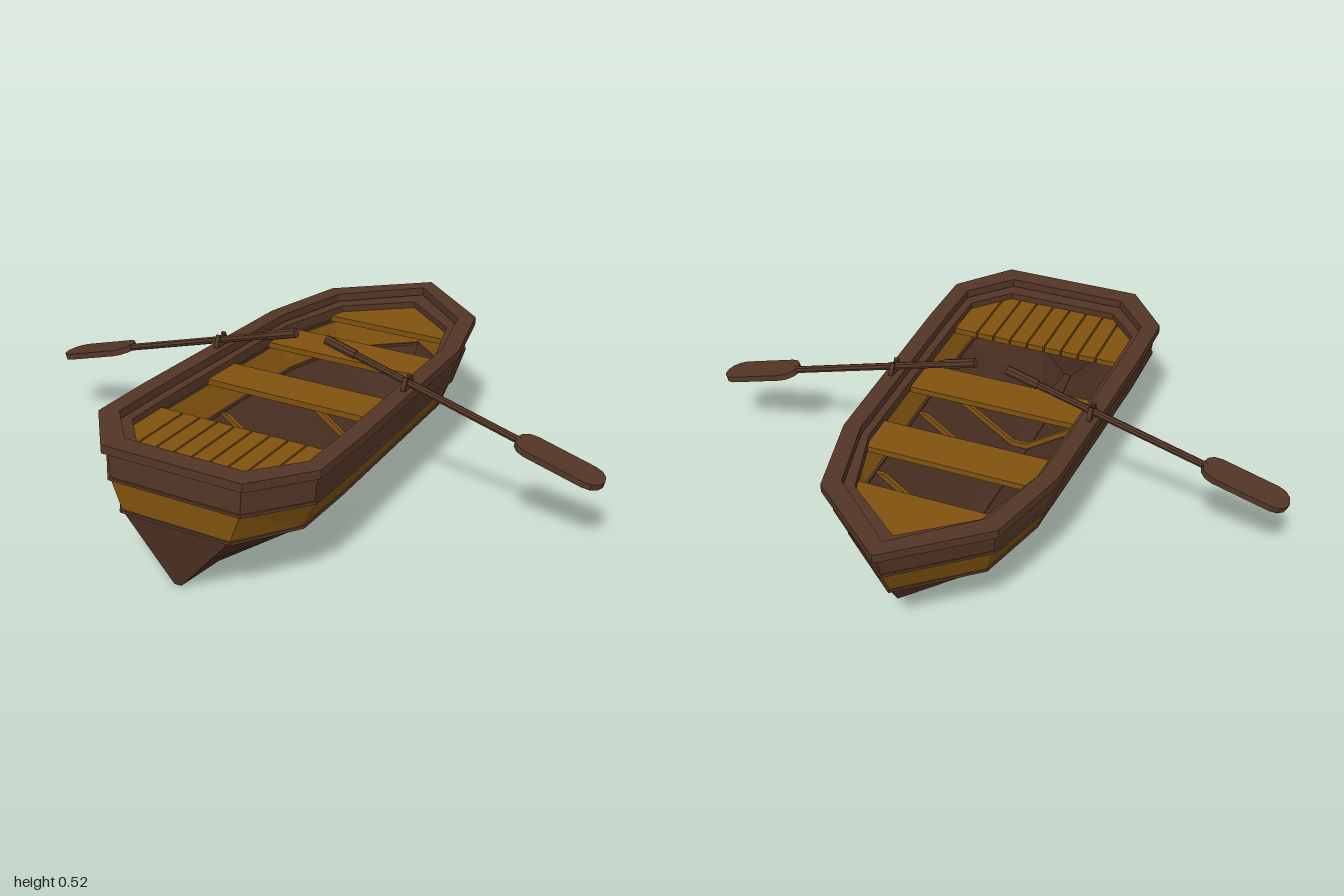
import * as THREE from 'three';

const mat = (color) => new THREE.MeshStandardMaterial({ color, flatShading: true, side: THREE.DoubleSide });
const brown = mat(0x533626), ochre = mat(0x80520f), dark = mat(0x482e21);
const SEAT = .348; // top of seats and platform

// Half outlines [x, z] from bow to stern; mirrored into closed loops
const outlines = {
  railOuter: [[0, -.838], [.285, -.6], [.36, -.3], [.385, .42], [.385, .655], [.24, .833]],
  railInner: [[0, -.77], [.235, -.56], [.305, -.29], [.328, .42], [.328, .625], [.205, .765]],
  ledgeInner: [[0, -.7], [.205, -.535], [.283, -.28], [.302, .42], [.302, .6], [.195, .72]],
  top: [[0, -.81], [.27, -.585], [.345, -.3], [.372, .42], [.372, .65], [.228, .82]],
  upper: [[0, -.79], [.26, -.57], [.335, -.3], [.362, .42], [.362, .65], [.222, .82]],
  chine: [[0, -.74], [.225, -.55], [.29, -.3], [.315, .42], [.315, .64], [.185, .82]],
  keel: [[0, -.49], [.012, -.475], [.024, -.42], [.03, .42], [.03, .65], [.012, .82]],
};
const loop = (half) => [...half, ...half.slice(1).reverse().map(([x, z]) => [-x, z])];
const grow = (half, d) => half.map(([x, z]) => [x ? x + d : 0, z + (z > .7 ? d : z < -.65 ? -d * 1.4 : 0)]);
const mix = (a, b, t) => a.map(([x, z], i) => [x + (b[i][0] - x) * t, z + (b[i][1] - z) * t]);

function add(group, name, geometry, material) {
  const mesh = new THREE.Mesh(geometry, material);
  mesh.name = name;
  group.add(mesh);
  return mesh;
}

// Horizontal slab from a closed [x, z] outline, optionally hollow
function slab(points, y0, y1, hole) {
  const vec = (pts) => pts.map(([x, z]) => new THREE.Vector2(x, z));
  const shape = new THREE.Shape(vec(points));
  if (hole) shape.holes.push(new THREE.Path(vec(hole)));
  return new THREE.ExtrudeGeometry(shape, { depth: y1 - y0, bevelEnabled: false })
    .rotateX(Math.PI / 2).translate(0, y1, 0);
}

// Planked skin between successive outlines, each level being [y, half outline]
function skin(levels) {
  const p = [];
  for (let k = 0; k + 1 < levels.length; k++) {
    const [y0, h0] = levels[k], [y1, h1] = levels[k + 1];
    const a = loop(h0), b = loop(h1);
    a.forEach(([x, z], i) => {
      const j = (i + 1) % a.length;
      const A = [x, y0, z], B = [a[j][0], y0, a[j][1]];
      const C = [b[j][0], y1, b[j][1]], D = [b[i][0], y1, b[i][1]];
      p.push(...A, ...C, ...B, ...A, ...D, ...C);
    });
  }
  const g = new THREE.BufferGeometry();
  g.setAttribute('position', new THREE.Float32BufferAttribute(p, 3));
  g.computeVertexNormals();
  return g;
}

function makeOar() {
  // Modelled along +x from the grip end, then tilted down to the water
  const oar = new THREE.Group();
  oar.name = 'oar';
  const rod = (r, x0, x1) => new THREE.CylinderGeometry(r, r, x1 - x0, 8)
    .rotateZ(Math.PI / 2).translate((x0 + x1) / 2, 0, 0);
  add(oar, 'shaft', rod(.012, .08, .7), brown);
  add(oar, 'grip', rod(.016, 0, .11), brown);
  const blade = [];
  for (const [cx, start] of [[.93, -90], [.735, 90]])
    for (let i = 0; i <= 6; i++) {
      const a = THREE.MathUtils.degToRad(start + i * 30);
      blade.push([cx + .05 * Math.cos(a), .055 * Math.sin(a)]);
    }
  add(oar, 'blade', slab(blade, -.01, .01), brown);
  oar.position.set(.055, .503, .045);
  oar.rotation.z = -.278;
  return oar;
}

function makeOarlock() {
  const lock = new THREE.Group();
  lock.name = 'oarlock';
  for (const s of [-1, 1]) {
    const leg = add(lock, 'prong', new THREE.BoxGeometry(.014, .046, .01), brown);
    leg.position.set(0, .02, s * .022);
    leg.rotation.x = -s * .4;
  }
  add(lock, 'base', new THREE.BoxGeometry(.016, .01, .07), brown);
  lock.position.set(.345, .4, .045);
  return lock;
}

export function createModel() {
  const boat = new THREE.Group();
  boat.name = 'rowingBoat';
  const o = outlines;

  // Hull planking: V bottom, ochre band, top strake
  const forefoot = mix(o.keel, o.chine, .615);
  forefoot[0] = [0, -.69];
  add(boat, 'hullBottom', skin([[0, o.keel], [.12, forefoot], [.195, o.chine]]), dark);
  add(boat, 'keelBase', slab(loop(o.keel), 0, .004), dark);
  add(boat, 'hullBand', skin([[.195, o.chine], [.29, o.upper]]), ochre);
  add(boat, 'topStrake', skin([[.29, o.upper], [.376, o.top]]), brown);

  // Rub strips, inner ledge and gunwale
  add(boat, 'lowerStrip', slab(loop(grow(o.chine, .006)), .19, .199, loop(grow(o.chine, -.006))), brown);
  add(boat, 'upperStrip', slab(loop(grow(o.upper, .006)), .287, .296, loop(grow(o.upper, -.006))), brown);
  add(boat, 'innerLedge', slab(loop(grow(o.upper, -.002)), .335, .37, loop(o.ledgeInner)), brown);
  add(boat, 'gunwale', slab(loop(o.railOuter), .374, .402, loop(o.railInner)), brown);

  // Bow seat and two thwarts
  add(boat, 'bowSeat', slab(loop([[0, -.72], [.215, -.535], [.235, -.48]]), SEAT - .02, SEAT), ochre);
  for (const [z0, z1, w0, w1] of [[-.31, -.16, .285, .292], [.05, .2, .297, .301]])
    add(boat, 'thwart', slab(loop([[0, z0], [w0, z0], [w1, z1]]), SEAT - .02, SEAT), ochre);

  // Slatted stern platform, its outer slats trimmed to the transom corners
  const endZ = (x) => Math.min(.735, .735 - (Math.abs(x) - .195) * 1.15);
  const platform = new THREE.Group();
  platform.name = 'sternPlatform';
  boat.add(platform);
  for (let i = -4; i <= 4; i++) {
    const x0 = i === -4 ? -.305 : i * .063 - .0285, x1 = i === 4 ? .305 : i * .063 + .0285;
    add(platform, 'slat', slab([[x0, .45], [x1, .45], [x1, endZ(x1)], [x0, endZ(x0)]], SEAT - .02, SEAT), ochre);
  }

  // V-shaped ribs lying on the inside of the hull
  for (const [z, w] of [[-.235, .288], [.125, .3], [.315, .308]]) {
    const rib = new THREE.Shape([[-w, .195], [-.03, .006], [.03, .006], [w, .195], [w - .03, .195],
      [.025, .026], [-.025, .026], [-w + .03, .195]].map(([x, y]) => new THREE.Vector2(x, y)));
    add(boat, 'rib', new THREE.ExtrudeGeometry(rib, { depth: .014, bevelEnabled: false }), ochre).position.z = z - .007;
  }

  // Oars and oarlocks on both sides
  for (const turn of [1, -1]) {
    const side = new THREE.Group();
    side.name = turn > 0 ? 'leftOarSet' : 'rightOarSet';
    side.add(makeOar(), makeOarlock());
    side.scale.x = turn;
    boat.add(side);
  }
  return boat;
}
